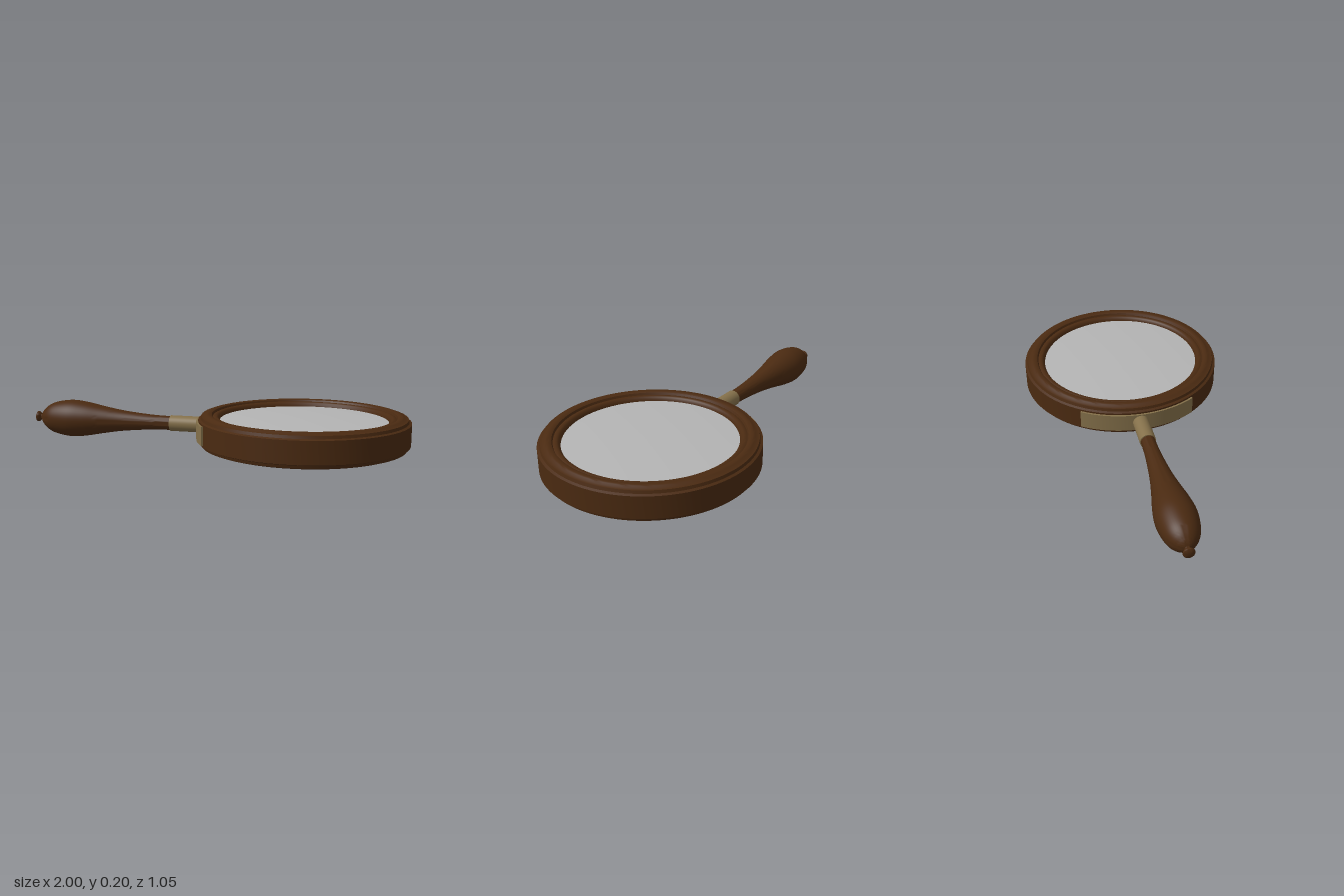
import * as THREE from 'three';
import { toCreasedNormals } from 'three/addons/utils/BufferGeometryUtils.js';

const MID = 0.0995; // height of the centre plane
const RIM_X = 0.473; // centre of the round frame

function material(name, color) {
  const m = new THREE.MeshStandardMaterial({ color });
  m.name = name;
  return m;
}

const vectors = (pairs) => pairs.map(([x, y]) => new THREE.Vector2(x, y));

// Mirrors an upper profile (outer edge to inner edge) below the centre plane
function mirrored(upper) {
  const lower = upper.map(([r, y]) => [r, -y]).reverse();
  return [...lower, ...upper];
}

export function createModel() {
  const group = new THREE.Group();
  group.name = 'magnifyingGlass';
  const wood = material('dark wood', 0x4a2a11);
  const brass = material('aged brass', 0x84704a);
  const glass = material('grey glass', 0xb4b4b4);

  function add(name, geometry, mat, x = 0) {
    const mesh = new THREE.Mesh(geometry, mat);
    mesh.name = name;
    mesh.position.set(x, MID, 0);
    group.add(mesh);
    return mesh;
  }

  // Moulded round frame: outer wall, stepped edge, raised bead, inner lip
  const rim = mirrored([
    [0.527, 0.055], [0.515, 0.06], [0.511, 0.074], [0.496, 0.076],
    [0.488, 0.082], [0.48, 0.084], [0.468, 0.084], [0.459, 0.08],
    [0.454, 0.069], [0.445, 0.073], [0.435, 0.073], [0.427, 0.068],
    [0.42, 0.056], [0.418, 0.045],
  ]);
  rim.push(rim[0]);
  add('frame', toCreasedNormals(new THREE.LatheGeometry(vectors(rim), 96), 0.6), wood, RIM_X);

  // Gently domed lens
  const dome = [];
  for (let i = 0; i <= 10; i++) {
    const r = 0.42 * (1 - i / 10);
    dome.push([r, 0.05 + 0.014 * (1 - (r / 0.42) ** 2)]);
  }
  add('lens', toCreasedNormals(new THREE.LatheGeometry(vectors(mirrored(dome)), 96), 0.6), glass, RIM_X);

  // Curved clasp hugging the frame on the handle side
  const half = 0.585;
  const arc = new THREE.Shape();
  arc.absarc(0, 0, 0.537, Math.PI - half, Math.PI + half, false);
  arc.absarc(0, 0, 0.515, Math.PI + half, Math.PI - half, true);
  const clasp = new THREE.ExtrudeGeometry(arc, { depth: 0.092, bevelEnabled: false, curveSegments: 32 });
  clasp.translate(0, 0, -0.046);
  clasp.rotateX(-Math.PI / 2);
  add('clasp', toCreasedNormals(clasp, 0.6), brass, RIM_X);

  // Ferrule joining handle and clasp
  const ferrule = new THREE.CylinderGeometry(0.041, 0.041, 0.18, 48);
  ferrule.rotateZ(-Math.PI / 2);
  add('ferrule', ferrule, brass, -0.135);

  // Turned handle: end button, neck, then a bulb tapering to the ferrule
  const button = [[0, -1], [0.018, -1], [0.027, -0.994], [0.028, -0.987], [0.022, -0.979], [0.013, -0.972], [0.014, -0.965]];
  const body = new THREE.SplineCurve(vectors([
    [0.014, -0.965], [0.036, -0.953], [0.066, -0.92], [0.087, -0.87], [0.099, -0.785],
    [0.091, -0.7], [0.074, -0.61], [0.057, -0.51], [0.045, -0.4], [0.038, -0.3], [0.036, -0.2],
  ])).getPoints(50);
  const handle = new THREE.LatheGeometry([...vectors(button), ...body.slice(1)], 48);
  handle.rotateZ(-Math.PI / 2);
  add('handle', toCreasedNormals(handle, 0.8), wood);

  return group;
}
